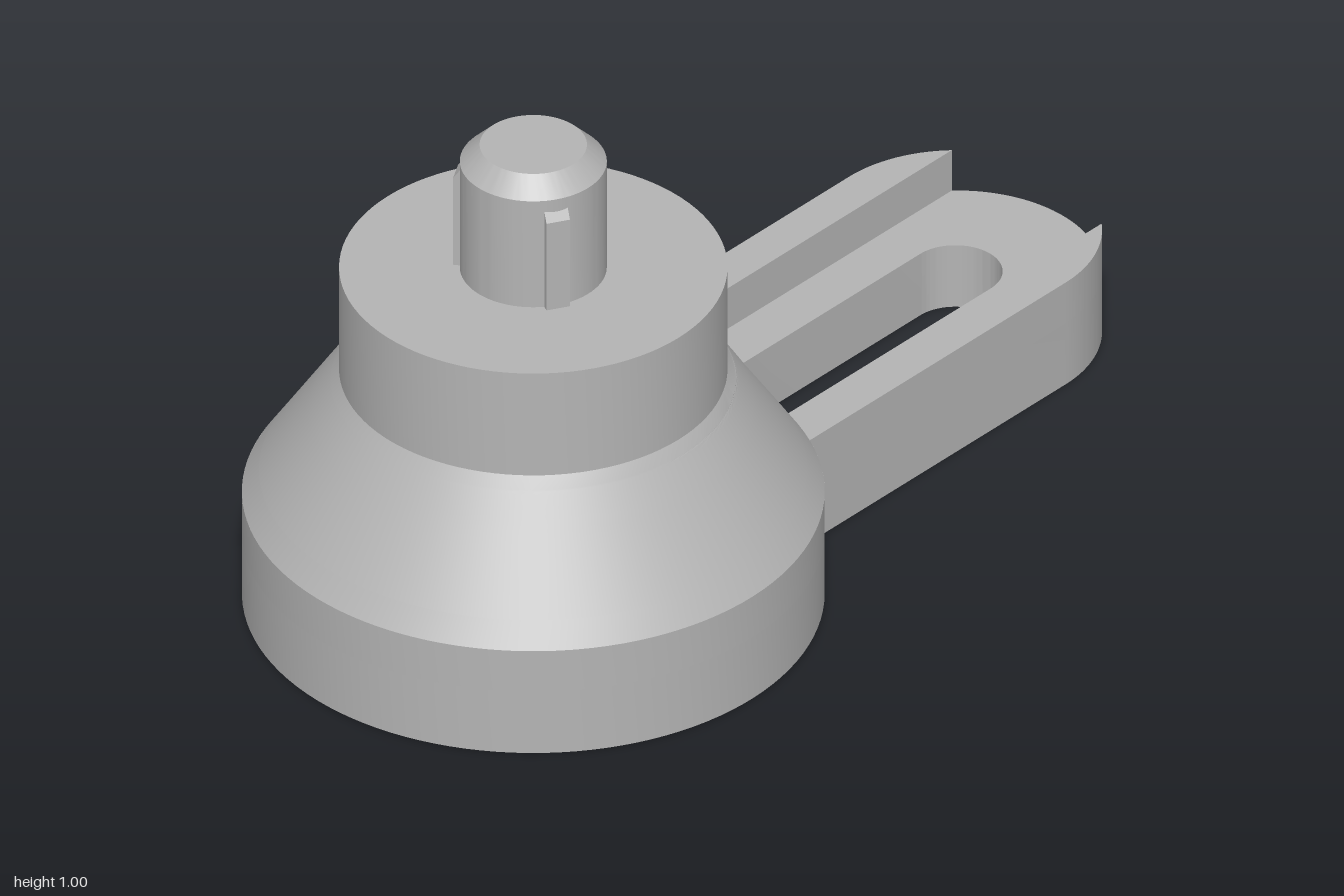
import * as THREE from 'three';
import { toCreasedNormals } from 'three/addons/utils/BufferGeometryUtils.js';

const PI = Math.PI;
const CX = -0.457, R = 0.543, NECK = 0.362;            // body axis and radii
const FLOOR = 0.137, RIM = 0.227, LOBE_TOP = 0.275, SHOULDER = 0.5, DECK = 0.727;
const ARM = 0.27, TIP = 0.73, GROOVE = 0.187;          // arm half width, tip centre, groove half width
const WALL = -0.08;                                    // back wall of the pocket
const SLOT = 0.088, SLOT_IN = -0.043, SLOT_OUT = 0.725;
const BETA = Math.acos((SLOT_IN - WALL) / SLOT);       // half angle of the slot end behind the wall
const A = Math.asin(ARM / R), B = Math.asin(GROOVE / ARM);

const crease = (g) => toCreasedNormals(g, 0.5);

function slab(shape, y, height) {
  const g = new THREE.ExtrudeGeometry(shape, { depth: height, bevelEnabled: false, curveSegments: 48 });
  g.rotateX(-PI / 2).translate(0, y, 0);
  return crease(g);
}

// Outline of the cone at radius r, with the pocket cut out of its +x side
function coneSection(r, lobe) {
  const d = WALL - CX;
  const w = Math.min(GROOVE, Math.sqrt(Math.max(0, r * r - d * d)));
  const a = Math.asin(w / r), x = CX + Math.min(d, r), pts = [];
  for (let i = 0; i <= 96; i++) {
    const t = a + (2 * PI - 2 * a) * i / 96;
    pts.push([CX + r * Math.cos(t), r * Math.sin(t)]);
  }
  pts.push([x, -w]);
  if (lobe) for (let i = 0; i <= 16; i++) {
    const t = PI + BETA - 2 * BETA * i / 16;
    pts.push([SLOT_IN + SLOT * Math.cos(t), SLOT * Math.sin(t)]);
  }
  pts.push([x, w]);
  return pts;
}

// Joins the cone sections into a wall
function coneLoft(radii, lobe) {
  const pos = [], index = [];
  let n = 0;
  radii.forEach((r, row) => {
    const y = RIM + (R - r) / (R - NECK) * (SHOULDER - RIM);
    const pts = coneSection(r, lobe);
    n = pts.length;
    for (const [px, py] of pts) pos.push(px, y, -py);
    if (row === 0) return;
    for (let i = 0; i < n; i++) {
      const j = (i + 1) % n, l = (row - 1) * n, u = row * n;
      index.push(l + i, l + j, u + j, l + i, u + j, u + i);
    }
  });
  const g = new THREE.BufferGeometry();
  g.setAttribute('position', new THREE.Float32BufferAttribute(pos, 3));
  g.setIndex(index);
  return crease(g);
}

function lathe(points) {
  const g = new THREE.LatheGeometry(points.map(([x, y]) => new THREE.Vector2(x, y)), 96);
  return crease(g.translate(CX, 0, 0));
}

export function createModel() {
  const group = new THREE.Group();
  const grey = new THREE.MeshStandardMaterial({ color: 0xb4b4b4 });
  grey.name = 'grey';
  const add = (name, geometry) => {
    const mesh = new THREE.Mesh(geometry, grey);
    mesh.name = name;
    group.add(mesh);
    return mesh;
  };

  // Foot: disc and arm floor with the long slot
  const foot = new THREE.Shape();
  foot.absarc(TIP, 0, ARM, -PI / 2, PI / 2);
  foot.absarc(CX, 0, R, A, 2 * PI - A);
  const slot = new THREE.Path();
  slot.absarc(SLOT_OUT, 0, SLOT, -PI / 2, PI / 2);
  slot.absarc(SLOT_IN, 0, SLOT, PI / 2, 3 * PI / 2);
  foot.holes.push(slot);
  add('foot', slab(foot, 0, FLOOR));

  // Upper foot layer: disc and the two rails beside the groove
  const rails = new THREE.Shape();
  rails.absarc(TIP, 0, ARM, B, PI / 2);
  rails.absarc(CX, 0, R, A, 2 * PI - A);
  rails.absarc(TIP, 0, ARM, -PI / 2, -B);
  rails.lineTo(WALL, -GROOVE);
  rails.absarc(SLOT_IN, 0, SLOT, PI + BETA, PI - BETA, true);
  rails.lineTo(WALL, GROOVE);
  add('rails', slab(rails, FLOOR, RIM - FLOOR));

  // Cone with the pocket, lower part also holding the slot end
  const rLobe = R - (LOBE_TOP - RIM) / (SHOULDER - RIM) * (R - NECK);
  const rCorner = Math.hypot(WALL - CX, GROOVE);
  add('lowerCone', coneLoft([R, rLobe], true));
  add('upperCone', coneLoft([rLobe, rCorner, 0.41, 0.4, 0.39, 0.383, 0.379, WALL - CX, NECK], false));

  // Ceiling over the slot end
  const lobe = new THREE.Shape();
  lobe.absarc(SLOT_IN, 0, SLOT, PI - BETA, PI + BETA);
  add('slotCeiling', new THREE.ShapeGeometry(lobe, 32).rotateX(PI / 2).translate(0, LOBE_TOP, 0));

  // Neck and pin
  add('neck', lathe([[NECK, SHOULDER], [NECK, DECK], [0, DECK]]));
  add('pin', lathe([[0.137, DECK], [0.137, 0.963], [0.1, 1], [0, 1]]));

  // Three ribs around the pin
  const rib = new THREE.Shape([[0.12, 0.72], [0.148, 0.72], [0.148, 0.92], [0.132, 0.943], [0.12, 0.943]]
    .map(([x, y]) => new THREE.Vector2(x, y)));
  const ribGeometry = new THREE.ExtrudeGeometry(rib, { depth: 0.046, bevelEnabled: false }).translate(0, 0, -0.023);
  for (let i = 0; i < 3; i++) {
    const mesh = add('pinRib', ribGeometry);
    mesh.position.x = CX;
    mesh.rotation.y = i * 2 * PI / 3;
  }
  return group;
}
